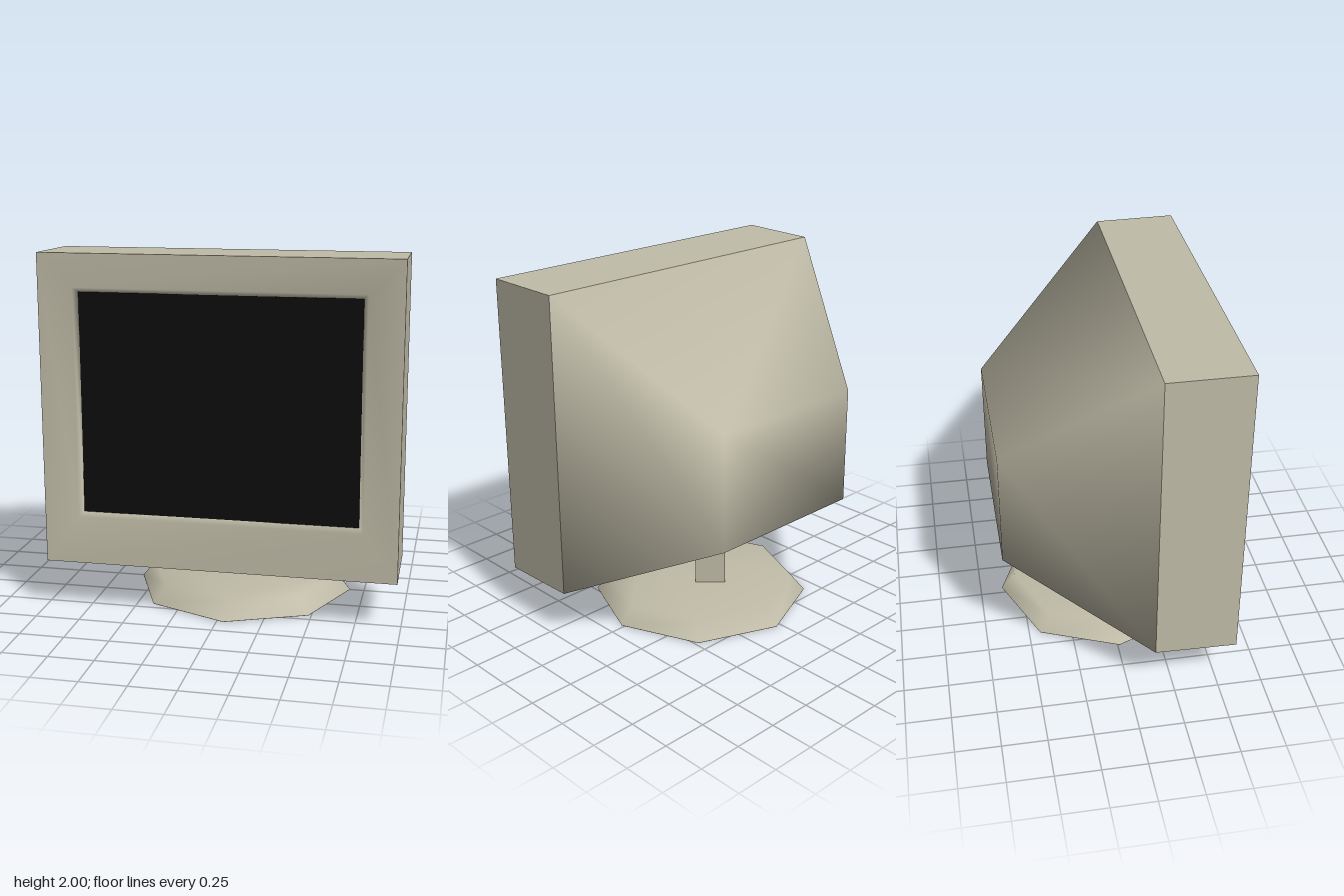
import * as THREE from 'three';

// Joins rings of points (counterclockwise about the direction of travel) into one smooth skin
function loft(rings, { capStart = false, capEnd = false, flat = false } = {}) {
  const n = rings[0].length, last = (rings.length - 1) * n, index = [];
  for (let i = 0; i < rings.length - 1; i++) {
    for (let j = 0; j < n; j++) {
      const k = (j + 1) % n, a = i * n, b = a + n;
      index.push(a + j, a + k, b + k, a + j, b + k, b + j);
    }
  }
  for (let j = 1; j < n - 1; j++) {
    if (capStart) index.push(0, j + 1, j);
    if (capEnd) index.push(last, last + j, last + j + 1);
  }
  let g = new THREE.BufferGeometry();
  g.setAttribute('position', new THREE.Float32BufferAttribute(rings.flat(2), 3));
  g.setIndex(index);
  if (flat) g = g.toNonIndexed();
  g.computeVertexNormals();
  return g;
}

// Upright rectangle, symmetric in x
const rect = (x, y0, y1, z) => [[-x, y0, z], [x, y0, z], [x, y1, z], [-x, y1, z]];

// Level octagon with corners on the axes
const octagon = (r, y) => Array.from({ length: 8 }, (_, i) => {
  const a = i * Math.PI / 4;
  return [0.04 + r * Math.sin(a), y, 0.01 + r * Math.cos(a)];
});

export function createModel() {
  const beige = new THREE.MeshStandardMaterial({ color: 0xc0bca8 });
  beige.name = 'beige plastic';
  const black = new THREE.MeshStandardMaterial({ color: 0x0d0d0d });
  black.name = 'black glass';

  const model = new THREE.Group();
  model.name = 'monitor';
  const add = (name, geometry, material) => {
    const mesh = new THREE.Mesh(geometry, material);
    mesh.name = name;
    model.add(mesh);
    return mesh;
  };

  // Housing: boxy front sleeve and softly shaded tapering back
  const seam = rect(0.975, 0.28, 1.995, 0.14);
  const rim = rect(0.98, 0.275, 2, 0.595);
  add('frontCasing', loft([seam, rim], { flat: true }), beige);
  add('backCasing', loft([rect(0.49, 0.65, 1.32, -0.64), seam], { capStart: true }), beige);

  // Frame dipping in towards the screen
  add('bezel', loft([
    rim,
    rect(0.79, 0.54, 1.815, 0.585),
    rect(0.765, 0.565, 1.79, 0.555),
  ]), beige);

  // Recessed screen
  const screen = add('screen', new THREE.BoxGeometry(1.53, 1.225, 0.008), black);
  screen.position.set(0, 1.1775, 0.552);

  // Square stalk set cornerwise
  const stalkShape = new THREE.CylinderGeometry(0.125, 0.125, 0.5, 4).toNonIndexed();
  stalkShape.computeVertexNormals();
  add('stalk', stalkShape, beige).position.set(0, 0.25, -0.035);

  // Eight-sided foot with sloping edge and flat underside
  add('foot', loft([octagon(0.63, 0.005), octagon(0.55, 0.1)], { capEnd: true }), beige);
  add('footUnderside', loft([octagon(0.63, 0.005), octagon(0.63, 0.006)], { capStart: true, flat: true }), beige);

  return model;
}
